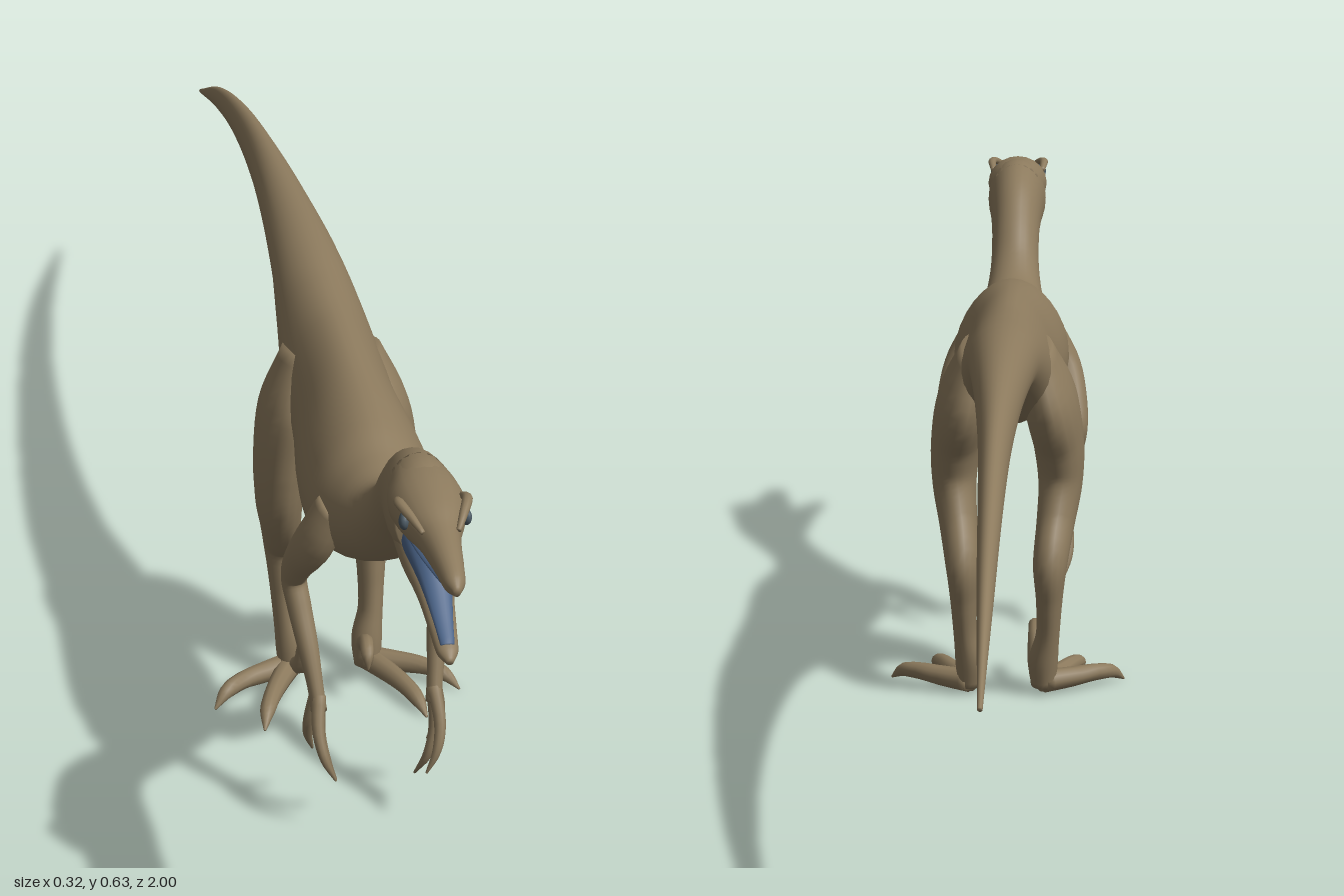
import * as THREE from 'three';

const skin = new THREE.MeshStandardMaterial({ color: 0x8c7a5d });
skin.name = 'brown skin';
const mouthBlue = new THREE.MeshStandardMaterial({ color: 0x4b6488 });
mouthBlue.name = 'blue mouth';
const eyeGrey = new THREE.MeshStandardMaterial({ color: 0x4c5a64 });
eyeGrey.name = 'grey eye';

// Smooth closed loft through stations [x, y, z, halfWidth, halfDepth, pear];
// s mirrors the path in x, pear narrows the upper side.
function loft(name, stations, material, s = 1, sides = 20, steps = 5) {
  const path = new THREE.CatmullRomCurve3(stations.map(p => new THREE.Vector3(p[0] * s, p[1], p[2])));
  const size = new THREE.CatmullRomCurve3(stations.map((p, i) => new THREE.Vector3(p[3], p[4], i * 0.05)));
  const n = (stations.length - 1) * steps;
  const pos = [], index = [];
  for (let i = 0; i <= n; i++) {
    const t = i / n, f = t * (stations.length - 1), k = Math.min(Math.floor(f), stations.length - 2);
    const c = path.getPoint(t), r = size.getPoint(t), T = path.getTangent(t);
    const pear = THREE.MathUtils.lerp(stations[k][5] || 0, stations[k + 1][5] || 0, f - k);
    const side = new THREE.Vector3(1, 0, 0).addScaledVector(T, -T.x).normalize();
    const up = new THREE.Vector3().crossVectors(T, side);
    for (let j = 0; j < sides; j++) {
      const a = j / sides * Math.PI * 2, sin = Math.sin(a);
      const p = c.clone()
        .addScaledVector(side, r.x * Math.cos(a) * (1 - pear * sin))
        .addScaledVector(up, r.y * sin);
      pos.push(p.x, p.y, p.z);
      if (i < n) {
        const A = i * sides + j, B = i * sides + (j + 1) % sides;
        index.push(A, B, B + sides, A, B + sides, A + sides);
      }
    }
  }
  // end caps
  const first = path.getPoint(0), last = path.getPoint(1), v = (n + 1) * sides;
  pos.push(first.x, first.y, first.z, last.x, last.y, last.z);
  for (let j = 0; j < sides; j++) {
    const j2 = (j + 1) % sides;
    index.push(v, j2, j, v + 1, n * sides + j, n * sides + j2);
  }
  const g = new THREE.BufferGeometry();
  g.setAttribute('position', new THREE.Float32BufferAttribute(pos, 3));
  g.setIndex(index);
  g.computeVertexNormals();
  const mesh = new THREE.Mesh(g, material);
  mesh.name = name;
  return mesh;
}

// Thin digit: path points with a radius tapering to a claw
function digit(name, points, r, s) {
  const last = points.length - 1;
  return loft(name, points.map((p, i) => {
    const q = i === last ? 0.0015 : r * (1 - 0.55 * i / last);
    return [...p, q, q];
  }), skin, s, 10, 4);
}

function buildHead() {
  const head = new THREE.Group();
  head.name = 'head';
  head.add(loft('upperJaw', [
    [0, 0.585, 0.77, 0.036, 0.042], [0, 0.59, 0.82, 0.043, 0.038], [0, 0.59, 0.865, 0.036, 0.031],
    [0, 0.586, 0.9, 0.024, 0.024], [0, 0.583, 0.95, 0.017, 0.018],
    [0, 0.578, 0.985, 0.012, 0.013], [0, 0.575, 1.0, 0.004, 0.005]], skin));
  head.add(loft('lowerJaw', [
    [0, 0.545, 0.78, 0.034, 0.036], [0, 0.528, 0.835, 0.031, 0.023], [0, 0.508, 0.88, 0.021, 0.014],
    [0, 0.49, 0.92, 0.016, 0.011], [0, 0.475, 0.953, 0.012, 0.009], [0, 0.47, 0.967, 0.004, 0.004]], skin));
  head.add(loft('mouthLining', [
    [0, 0.555, 0.81, 0.03, 0.026], [0, 0.548, 0.845, 0.029, 0.022], [0, 0.526, 0.88, 0.019, 0.012],
    [0, 0.503, 0.92, 0.012, 0.006], [0, 0.484, 0.952, 0.008, 0.004]], mouthBlue));
  head.add(loft('palate', [
    [0, 0.562, 0.84, 0.026, 0.007], [0, 0.562, 0.89, 0.02, 0.005],
    [0, 0.565, 0.94, 0.013, 0.004], [0, 0.567, 0.975, 0.007, 0.003]], mouthBlue));
  for (const s of [1, -1]) {
    const eye = new THREE.Mesh(new THREE.SphereGeometry(1, 16, 12), eyeGrey);
    eye.name = 'eye';
    eye.scale.set(0.007, 0.011, 0.012);
    eye.position.set(0.033 * s, 0.598, 0.868);
    eye.rotation.y = 0.4 * s;
    head.add(eye);
    head.add(loft('brow', [
      [0.036, 0.606, 0.835, 0.004, 0.004], [0.038, 0.615, 0.86, 0.006, 0.005],
      [0.029, 0.609, 0.885, 0.005, 0.005], [0.02, 0.6, 0.905, 0.003, 0.003]], skin, s, 10));
  }
  return head;
}

function buildArm(s) {
  const arm = new THREE.Group();
  arm.name = s > 0 ? 'leftArm' : 'rightArm';
  arm.add(loft('armLimb', [
    [0.05, 0.435, 0.515, 0.022, 0.035], [0.074, 0.385, 0.508, 0.023, 0.031], [0.088, 0.335, 0.47, 0.019, 0.023],
    [0.091, 0.305, 0.454, 0.016, 0.018], [0.087, 0.275, 0.466, 0.015, 0.016], [0.08, 0.23, 0.49, 0.013, 0.014],
    [0.074, 0.185, 0.51, 0.01, 0.012], [0.071, 0.155, 0.52, 0.01, 0.014]], skin, s, 16));
  arm.add(digit('frontFinger', [[0.071, 0.175, 0.518], [0.075, 0.135, 0.542], [0.069, 0.105, 0.555], [0.056, 0.076, 0.557]], 0.009, s));
  arm.add(digit('middleFinger', [[0.071, 0.17, 0.518], [0.071, 0.125, 0.527], [0.062, 0.085, 0.529], [0.049, 0.053, 0.516]], 0.009, s));
  arm.add(digit('rearFinger', [[0.073, 0.175, 0.512], [0.081, 0.135, 0.505], [0.08, 0.106, 0.492], [0.072, 0.077, 0.477]], 0.009, s));
  return arm;
}

function buildLeg(s) {
  const leg = new THREE.Group();
  leg.name = s > 0 ? 'leftLeg' : 'rightLeg';
  leg.add(loft('legLimb', [
    [0.04, 0.48, 0.185, 0.022, 0.05], [0.058, 0.41, 0.2, 0.036, 0.08], [0.07, 0.34, 0.215, 0.034, 0.06],
    [0.072, 0.29, 0.213, 0.03, 0.047], [0.066, 0.24, 0.187, 0.026, 0.038], [0.059, 0.19, 0.147, 0.023, 0.03],
    [0.058, 0.14, 0.152, 0.018, 0.025], [0.056, 0.09, 0.162, 0.016, 0.022],
    [0.05, 0.05, 0.17, 0.02, 0.022], [0.05, 0.014, 0.175, 0.017, 0.018]], skin, s, 18));
  leg.add(digit('outerToe', [[0.05, 0.02, 0.17], [0.09, 0.021, 0.19], [0.12, 0.022, 0.208], [0.143, 0.018, 0.226], [0.16, 0.003, 0.242]], 0.016, s));
  leg.add(digit('middleToe', [[0.05, 0.02, 0.17], [0.07, 0.02, 0.21], [0.087, 0.02, 0.25], [0.098, 0.015, 0.28], [0.105, 0.003, 0.305]], 0.016, s));
  leg.add(digit('raisedToe', [[0.045, 0.025, 0.18], [0.04, 0.042, 0.207], [0.039, 0.068, 0.216], [0.038, 0.079, 0.236], [0.036, 0.073, 0.257], [0.036, 0.055, 0.262]], 0.014, s));
  return leg;
}

export function createModel() {
  const model = new THREE.Group();
  model.name = 'dinosaur';
  // tail, torso and neck in one sweep
  model.add(loft('body', [
    [0, 0.345, -1, 0.003, 0.003], [0, 0.415, -0.8, 0.01, 0.016], [0, 0.465, -0.6, 0.015, 0.024],
    [0, 0.494, -0.4, 0.021, 0.033], [0, 0.508, -0.2, 0.032, 0.038], [0, 0.504, 0, 0.046, 0.046, 0.05],
    [0, 0.484, 0.1, 0.055, 0.061, 0.12], [0, 0.458, 0.2, 0.063, 0.082, 0.2], [0, 0.444, 0.3, 0.066, 0.091, 0.2],
    [0, 0.432, 0.4, 0.077, 0.095, 0.2], [0, 0.43, 0.48, 0.078, 0.087, 0.2], [0, 0.438, 0.54, 0.064, 0.065, 0.15],
    [0, 0.456, 0.592, 0.044, 0.044], [0, 0.495, 0.645, 0.035, 0.036], [0, 0.537, 0.695, 0.034, 0.042],
    [0, 0.563, 0.745, 0.038, 0.054], [0, 0.572, 0.795, 0.042, 0.058], [0, 0.574, 0.83, 0.036, 0.046]], skin, 1, 28));
  model.add(buildHead());
  for (const s of [1, -1]) model.add(buildArm(s), buildLeg(s));
  return model;
}
